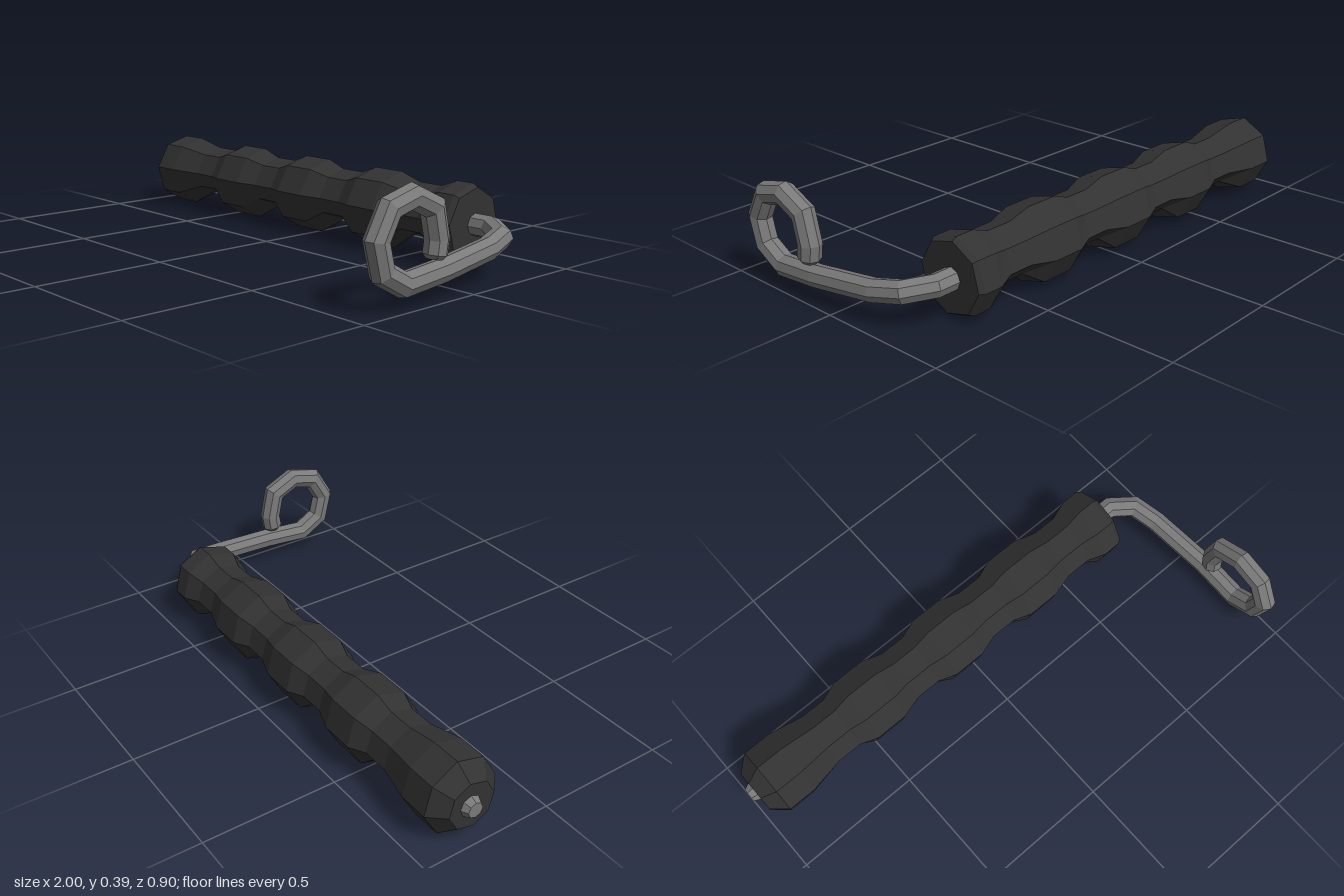
import * as THREE from 'three';

const SIDES = 8;

// Closed, flat-faced skin over a list of rings of equal length
function loft(rings) {
  const pos = [];
  const tri = (...pts) => pts.forEach((p) => pos.push(p.x, p.y, p.z));
  const n = rings[0].length;
  const centre = (ring) => ring.reduce((s, p) => s.add(p), new THREE.Vector3()).divideScalar(n);
  const first = rings[0], last = rings[rings.length - 1];
  const c0 = centre(first), c1 = centre(last);
  for (let j = 0; j < n; j++) {
    const k = (j + 1) % n;
    for (let i = 0; i + 1 < rings.length; i++) {
      const a = rings[i], b = rings[i + 1];
      tri(a[j], a[k], b[j]);
      tri(a[k], b[k], b[j]);
    }
    tri(c0, first[k], first[j]);
    tri(c1, last[j], last[k]);
  }
  const geo = new THREE.BufferGeometry();
  geo.setAttribute('position', new THREE.Float32BufferAttribute(pos, 3));
  geo.computeVertexNormals();
  return geo;
}

// Ring around the x axis; `under` flattens its lower half
function ringX(x, y, z, r, phase, under = 1) {
  return Array.from({ length: SIDES }, (_, j) => {
    const a = phase + (j / SIDES) * Math.PI * 2;
    const dy = r * Math.cos(a);
    return new THREE.Vector3(x, y + dy * (dy < 0 ? under : 1), z + r * Math.sin(a));
  });
}

// Rod with mitred corners: each ring slides along its segment to the mitre plane
function mitredRod(points, r, tip) {
  const path = points.map((p) => new THREE.Vector3(...p));
  const dir = (i) => path[i + 1].clone().sub(path[i]).normalize();
  let ring = ringX(...points[0], r, 0);
  const rings = [ring];
  const end = path.length - 1;
  for (let i = 1; i <= end; i++) {
    const d = dir(i - 1);
    const normal = i < end ? d.clone().add(dir(i)).normalize() : d;
    ring = ring.map((p) => {
      const t = path[i].clone().sub(p).dot(normal) / d.dot(normal);
      return p.clone().addScaledVector(d, t);
    });
    rings.push(ring);
  }
  // Chamfered tips
  for (const i of [0, end]) rings[i] = rings[i].map((p) => path[i].clone().lerp(p, tip));
  return loft(rings);
}

export function createModel() {
  const group = new THREE.Group();
  const rubber = new THREE.MeshStandardMaterial({ color: 0x323232, flatShading: true });
  rubber.name = 'black rubber';
  const steel = new THREE.MeshStandardMaterial({ color: 0x7a7a7a, flatShading: true });
  steel.name = 'grey steel';

  // Grip: wide bands separated by four finger grooves, deeper underneath
  const R = 0.144, N = 0.117, UNDER = 0.61;
  const profile = [[-0.975, 0.09, 1], [-0.917, R, 1], [-0.805, R, 1]];
  for (let i = 0; i < 4; i++) {
    const x = -0.67 + i * 0.383 + (i > 2 ? 0.01 : 0);
    profile.push([x, N, UNDER], [x + 0.1, N, UNDER], [x + 0.17, R, 1]);
    if (i < 3) profile.push([x + 0.3, R, 1]);
  }
  profile.push([0.73, R, 1], [0.75, 0.132, 1]);
  const grip = new THREE.Mesh(
    loft(profile.map(([x, r, under]) => ringX(x, 0.146, -0.303, r, -0.122, under))), rubber);
  grip.name = 'grip';
  group.add(grip);

  // Steel rod: runs through the grip, bends forward and curls into a hook
  const X = 0.958;
  const rod = new THREE.Mesh(mitredRod([
    [-1, 0.146, -0.308], [-0.975, 0.146, -0.308],
    [0.82, 0.146, -0.31], [0.905, 0.136, -0.25], [0.933, 0.118, -0.147], [X, 0.094, 0.11],
    [X, 0.078, 0.29], [X, 0.13, 0.383], [X, 0.23, 0.41], [X, 0.322, 0.358],
    [X, 0.347, 0.258], [X, 0.303, 0.163], [X, 0.2, 0.138], [X, 0.15, 0.145], [X, 0.136, 0.147],
  ], 0.041, 0.7), steel);
  rod.name = 'hookRod';
  group.add(rod);

  return group;
}
